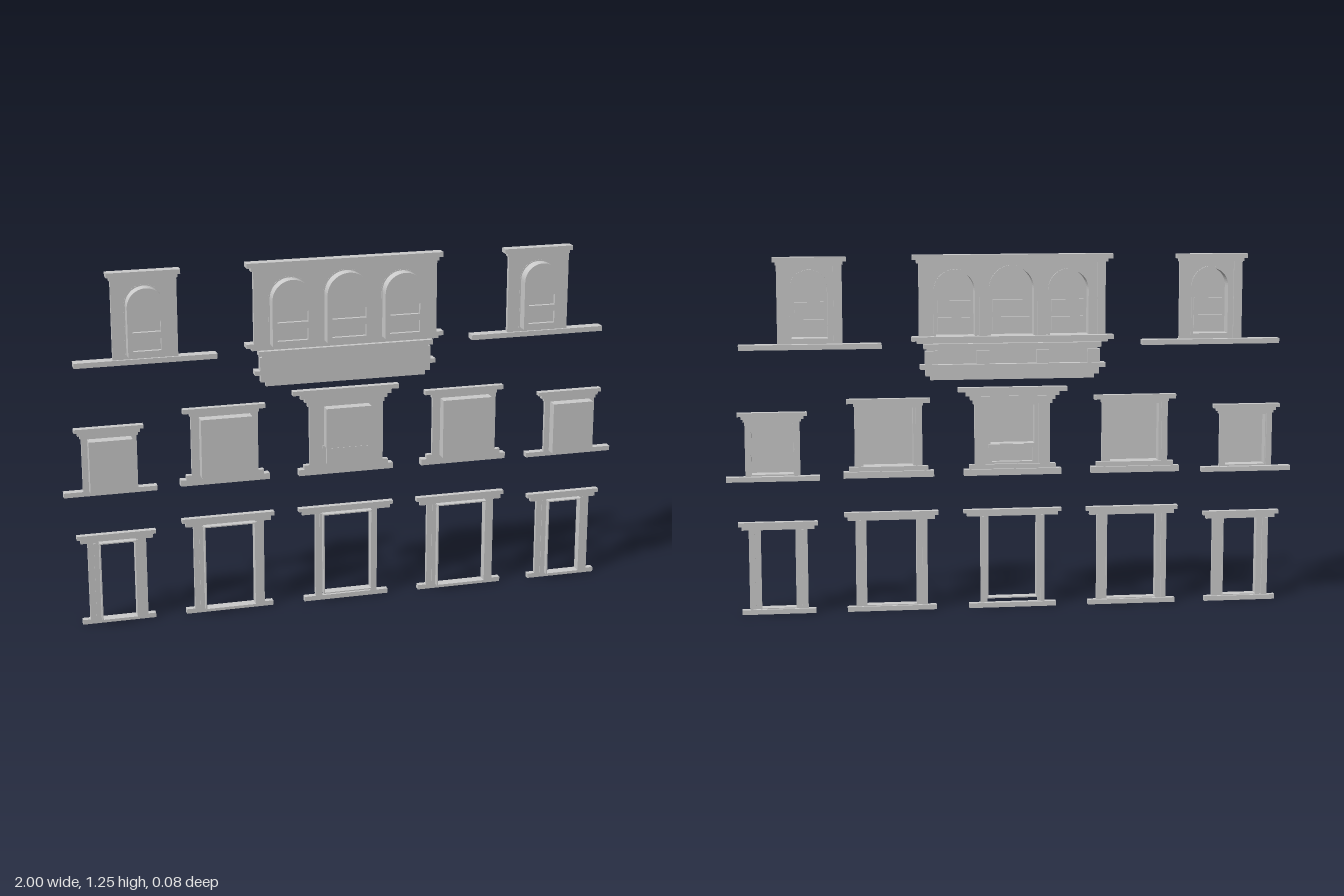
import * as THREE from 'three';

const material = new THREE.MeshStandardMaterial({ color: 0xcccccc, flatShading: true });

function add(group, name, geometry) {
  const mesh = new THREE.Mesh(geometry, material);
  mesh.name = name;
  group.add(mesh);
}

function box(group, name, x0, x1, y0, y1, z0, z1) {
  const g = new THREE.BoxGeometry(x1 - x0, y1 - y0, z1 - z0);
  add(group, name, g.translate((x0 + x1) / 2, (y0 + y1) / 2, (z0 + z1) / 2));
}

// Horizontal moulding centred on the unit, projecting towards the street (-z)
const strip = (group, name, halfW, y0, y1, depth, zBack = 0) =>
  box(group, name, -halfW, halfW, y0, y1, -depth, zBack);

// Outlines; o = { x, w (half width), y0, y1, arch }
function outline(o, grow = 0, Type = THREE.Shape) {
  const s = new Type(), x = o.x ?? 0, w = o.w + grow, y0 = o.y0 - grow, y1 = o.y1 + grow;
  s.moveTo(x - w, y0);
  s.lineTo(x + w, y0);
  if (o.arch) {
    s.lineTo(x + w, y1 - w);
    s.absarc(x, y1 - w, w, 0, Math.PI, false);
  } else {
    s.lineTo(x + w, y1);
    s.lineTo(x - w, y1);
  }
  s.closePath();
  return s;
}

function plate(group, name, o, holes, z0, z1, grow = 0) {
  const shape = outline(o, grow);
  for (const h of holes) shape.holes.push(outline(h, 0, THREE.Path));
  const g = new THREE.ExtrudeGeometry(shape, { depth: z1 - z0, bevelEnabled: false, curveSegments: 14 });
  add(group, name, g.translate(0, 0, z0));
}

// Pocket behind an opening: thin walls, floor, and panels raised inside the pocket
function recess(group, o, depth, panels = [], lift = 0.016) {
  const t = 0.003;
  plate(group, 'recessWall', o, [o], -0.008, depth, t);
  plate(group, 'recessFloor', o, panels, depth - t, depth);
  for (const p of panels) {
    plate(group, 'panelEdge', p, [p], depth - lift, depth - t, t);
    plate(group, 'panelFace', p, [], depth - lift, depth - lift + t);
  }
}

function pilasters(group, xs, halfW, y0, y1, depth) {
  for (const x of xs) box(group, 'pilaster', x - halfW, x + halfW, y0, y1, -depth, 0);
}

// Open ground-floor frame with jambs and a deep reveal
function openFrame({ w, open, jamb, sill, lintelY, top, bottom = 0.02 }) {
  const g = new THREE.Group();
  const hole = { w: open, y0: bottom, y1: lintelY };
  const mid = (open + jamb) / 2;
  for (const s of [-1, 1]) {
    const pair = (name, a, b, z0, z1) =>
      box(g, name, Math.min(s * a, s * b), Math.max(s * a, s * b), 0.015, lintelY, z0, z1);
    pair('jamb', mid, jamb, -0.015, 0);
    pair('innerJamb', open + 0.004, mid, -0.009, 0.002);
  }
  plate(g, 'reveal', hole, [hole], -0.012, 0.023, 0.004);
  strip(g, 'lintelBase', w - 0.012, lintelY, (lintelY + top) / 2, 0.014);
  strip(g, 'lintelCap', w, (lintelY + top) / 2, top, 0.021);
  strip(g, 'sill', sill, 0, 0.017, 0.021);
  return g;
}

// Small first-floor window with a wide sill
function smallWindow() {
  const g = new THREE.Group();
  const o = { w: 0.072, y0: 0.495, y1: 0.675 };
  plate(g, 'surround', { w: 0.095, y0: 0.488, y1: 0.69 }, [o], -0.008, 0);
  pilasters(g, [-0.085, 0.085], 0.01, 0.49, 0.685, 0.014);
  recess(g, o, 0.038);
  strip(g, 'frieze', 0.1, 0.68, 0.69, 0.014);
  strip(g, 'corniceBase', 0.108, 0.69, 0.701, 0.018);
  strip(g, 'corniceCap', 0.12, 0.701, 0.714, 0.024);
  strip(g, 'sill', 0.162, 0.473, 0.49, 0.027);
  return g;
}

// Larger first-floor window
function largeWindow() {
  const g = new THREE.Group();
  const o = { w: 0.087, y0: 0.516, y1: 0.722 };
  plate(g, 'surround', { w: 0.118, y0: 0.5, y1: 0.74 }, [o], -0.008, 0);
  pilasters(g, [-0.107, 0.107], 0.011, 0.51, 0.735, 0.014);
  recess(g, o, 0.038);
  strip(g, 'frieze', 0.122, 0.728, 0.739, 0.014);
  strip(g, 'cornice', 0.146, 0.739, 0.755, 0.022);
  strip(g, 'upperSill', 0.138, 0.5, 0.516, 0.018);
  strip(g, 'sill', 0.158, 0.478, 0.5, 0.027);
  return g;
}

// Central first-floor window with a panel below
function centreWindow() {
  const g = new THREE.Group();
  const upper = { w: 0.078, y0: 0.587, y1: 0.725 };
  const lower = { w: 0.072, y0: 0.523, y1: 0.573 };
  plate(g, 'surround', { w: 0.134, y0: 0.5, y1: 0.745 }, [upper, lower], -0.008, 0);
  pilasters(g, [-0.113, 0.113], 0.02, 0.51, 0.735, 0.014);
  recess(g, upper, 0.036);
  recess(g, lower, 0.014);
  strip(g, 'transom', 0.086, 0.574, 0.586, 0.013, 0.004);
  [[0.14, 0.73, 0.745, 0.018], [0.15, 0.745, 0.758, 0.021], [0.165, 0.758, 0.773, 0.017],
    [0.192, 0.773, 0.789, 0.024]].forEach(a => strip(g, 'cornice', ...a));
  strip(g, 'upperSill', 0.153, 0.5, 0.516, 0.018);
  strip(g, 'sill', 0.172, 0.478, 0.5, 0.027);
  return g;
}

// Arched niche with a raised rim and two panels under the arch
function archedNiche(g, o) {
  const panel = (y0, y1) => ({ x: o.x, w: o.w - 0.014, y0, y1 });
  plate(g, 'archRim', o, [o], -0.013, 0.001, 0.007);
  recess(g, o, 0.042, [panel(0.985, 1.027), panel(1.05, 1.087)]);
}

// Single arched window of the top floor
function archedWindow() {
  const g = new THREE.Group();
  const o = { x: 0, w: 0.062, y0: 0.968, y1: 1.198, arch: true };
  plate(g, 'surround', { w: 0.112, y0: 0.945, y1: 1.23 }, [o], -0.008, 0);
  pilasters(g, [-0.097, 0.097], 0.015, 0.95, 1.225, 0.016);
  archedNiche(g, o);
  strip(g, 'corniceBase', 0.116, 1.222, 1.233, 0.022);
  strip(g, 'corniceCap', 0.126, 1.233, 1.249, 0.035);
  strip(g, 'sill', 0.246, 0.931, 0.949, 0.03, 0.008);
  return g;
}

// Three-arched central bay standing on a bracketed balcony base
function centreBay() {
  const g = new THREE.Group();
  const arches = [-0.2, 0, 0.2].map(x => (
    { x, w: x ? 0.068 : 0.075, y0: 0.97, y1: x ? 1.195 : 1.208, arch: true }));
  plate(g, 'surround', { w: 0.327, y0: 0.96, y1: 1.24 }, arches, -0.008, 0);
  pilasters(g, [-0.313, -0.103, 0.103, 0.313], 0.014, 0.965, 1.234, 0.018);
  arches.forEach(o => archedNiche(g, o));
  strip(g, 'corniceBase', 0.335, 1.224, 1.236, 0.026);
  strip(g, 'corniceCap', 0.35, 1.236, 1.253, 0.037);
  strip(g, 'baySill', 0.354, 0.955, 0.97, 0.038);
  strip(g, 'baySillMould', 0.335, 0.946, 0.955, 0.028);
  strip(g, 'baseCap', 0.312, 0.927, 0.944, 0.028, 0.009);
  strip(g, 'baseFrieze', 0.3, 0.872, 0.927, 0.015);
  for (const x of [-0.285, -0.105, 0.105, 0.285])
    box(g, 'bracket', x - 0.022, x + 0.022, 0.873, 0.92, -0.029, 0);
  strip(g, 'baseBand', 0.325, 0.857, 0.873, 0.038);
  strip(g, 'baseLower', 0.305, 0.832, 0.857, 0.024);
  strip(g, 'baseFoot', 0.288, 0.817, 0.832, 0.016);
  return g;
}

export function createModel() {
  const model = new THREE.Group();
  const place = (name, unit, x = 0) => {
    unit.name = name;
    unit.position.x = x;
    model.add(unit);
  };
  for (const s of [-1, 1]) {
    place('outerDoorFrame', openFrame({ w: 0.138, open: 0.06, jamb: 0.102, sill: 0.129, lintelY: 0.3, top: 0.328 }), s * 0.824);
    place('innerDoorFrame', openFrame({ w: 0.165, open: 0.088, jamb: 0.126, sill: 0.157, lintelY: 0.325, top: 0.355 }), s * 0.428);
    place('smallWindow', smallWindow(), s * 0.838);
    place('largeWindow', largeWindow(), s * 0.436);
    place('archedWindow', archedWindow(), s * 0.703);
  }
  place('centreDoorFrame', openFrame({ w: 0.174, open: 0.086, jamb: 0.114, sill: 0.155, lintelY: 0.33, top: 0.355, bottom: 0.035 }));
  place('centreWindow', centreWindow());
  place('centreBay', centreBay());
  return model;
}
